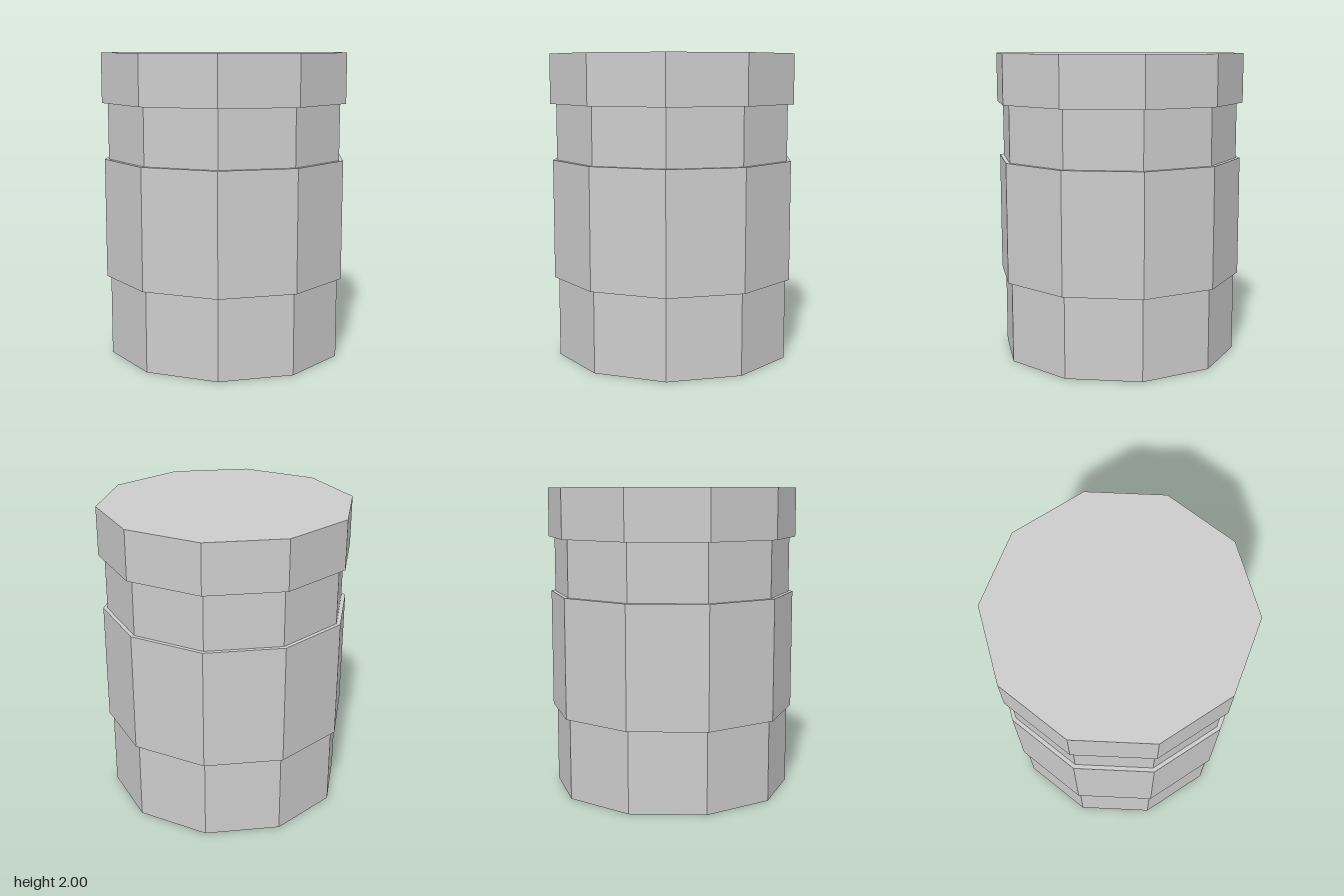
import * as THREE from 'three';

const SIDES = 10;

export function createModel() {
  const model = new THREE.Group();
  model.name = 'canister';

  const grey = new THREE.MeshStandardMaterial({ color: 0xcccccc, flatShading: true });
  grey.name = 'light grey';

  // Ten-sided drum between two heights, with a corner facing front
  const drum = (name, radius, bottom, top) => {
    const geometry = new THREE.CylinderGeometry(radius, radius, top - bottom, SIDES);
    geometry.translate(0, (bottom + top) / 2, 0);
    const mesh = new THREE.Mesh(geometry, grey);
    mesh.name = name;
    model.add(mesh);
  };

  drum('base', 0.787, 0, 0.53);
  drum('wideBand', 0.814, 0.53, 1.312);
  drum('neck', 0.787, 1.312, 1.678);
  drum('lid', 0.826, 1.678, 2);

  return model;
}
